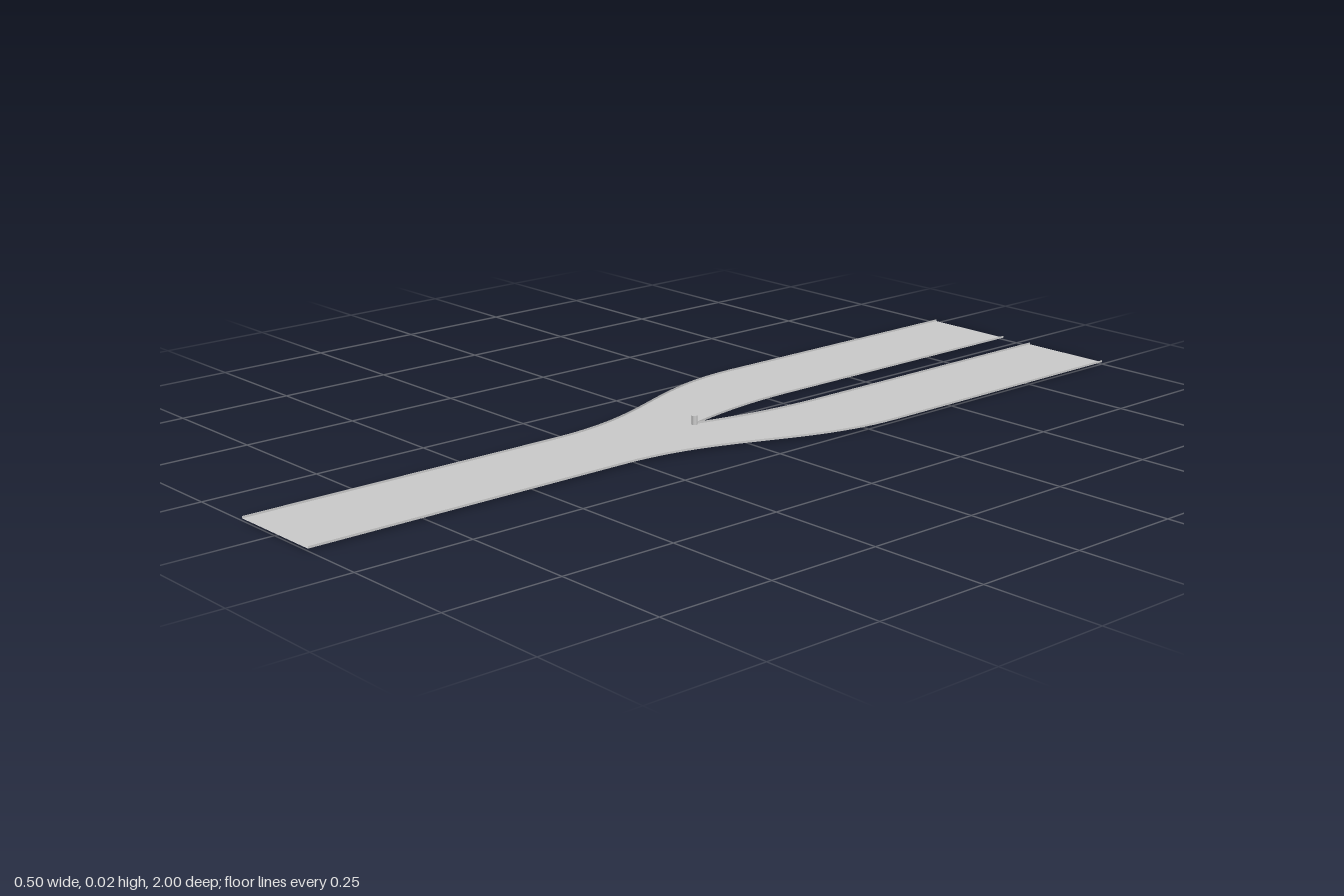
import * as THREE from 'three';

const ROAD_Y = 0.0045, CURB_TOP = 0.009;
const V = (x, z) => new THREE.Vector2(x, z);

// Right-hand edges of the fork as (x, z) points, from the far end to the near end
const outerEdge = [V(0.25, -1), ...new THREE.CubicBezierCurve(
  V(0.25, -0.33), V(0.25, -0.08), V(0.108, 0.02), V(0.108, 0.28)).getPoints(24), V(0.108, 1)];
const innerEdge = [V(0.04, -1), ...new THREE.QuadraticBezierCurve(
  V(0.04, -0.31), V(0.04, -0.15), V(0, -0.005)).getPoints(16)];

const mirror = (points) => points.map((p) => V(-p.x, p.y));

// Thin upright strip that follows an edge
function curbGeometry(points) {
  const positions = [], index = [];
  points.forEach((p, i) => {
    positions.push(p.x, ROAD_Y, p.y, p.x, CURB_TOP, p.y);
    const a = 2 * i;
    if (i < points.length - 1) index.push(a, a + 2, a + 1, a + 1, a + 2, a + 3);
  });
  const geometry = new THREE.BufferGeometry();
  geometry.setAttribute('position', new THREE.Float32BufferAttribute(positions, 3));
  geometry.setIndex(index);
  geometry.computeVertexNormals();
  return geometry;
}

export function createModel() {
  const model = new THREE.Group();
  model.name = 'forkedRoad';
  const sheet = new THREE.MeshStandardMaterial({ color: 0xcccccc, side: THREE.DoubleSide });
  const solid = new THREE.MeshStandardMaterial({ color: 0xcccccc });

  const add = (name, geometry, material) => {
    const mesh = new THREE.Mesh(geometry, material);
    mesh.name = name;
    model.add(mesh);
    return mesh;
  };

  // Flat Y-shaped surface: down the right side, up the left, then around the gap
  const outline = [
    ...outerEdge,
    ...mirror(outerEdge).reverse(),
    ...mirror(innerEdge),
    ...innerEdge.slice(0, -1).reverse(),
  ].map((p) => V(p.x, -p.y));
  const road = new THREE.ShapeGeometry(new THREE.Shape(outline));
  road.rotateX(-Math.PI / 2);
  add('roadSurface', road, sheet).position.y = ROAD_Y;

  // Low curbs along every long edge
  for (const [side, place] of [['left', (p) => p], ['right', mirror]]) {
    add(`${side}OuterCurb`, curbGeometry(place(outerEdge)), sheet);
    add(`${side}InnerCurb`, curbGeometry(place(innerEdge)), sheet);
  }

  // Small post at the point where the branches split
  add('dividerPost', new THREE.CylinderGeometry(0.006, 0.006, 0.024, 16), solid)
    .position.set(0, 0.012, 0.002);

  return model;
}
